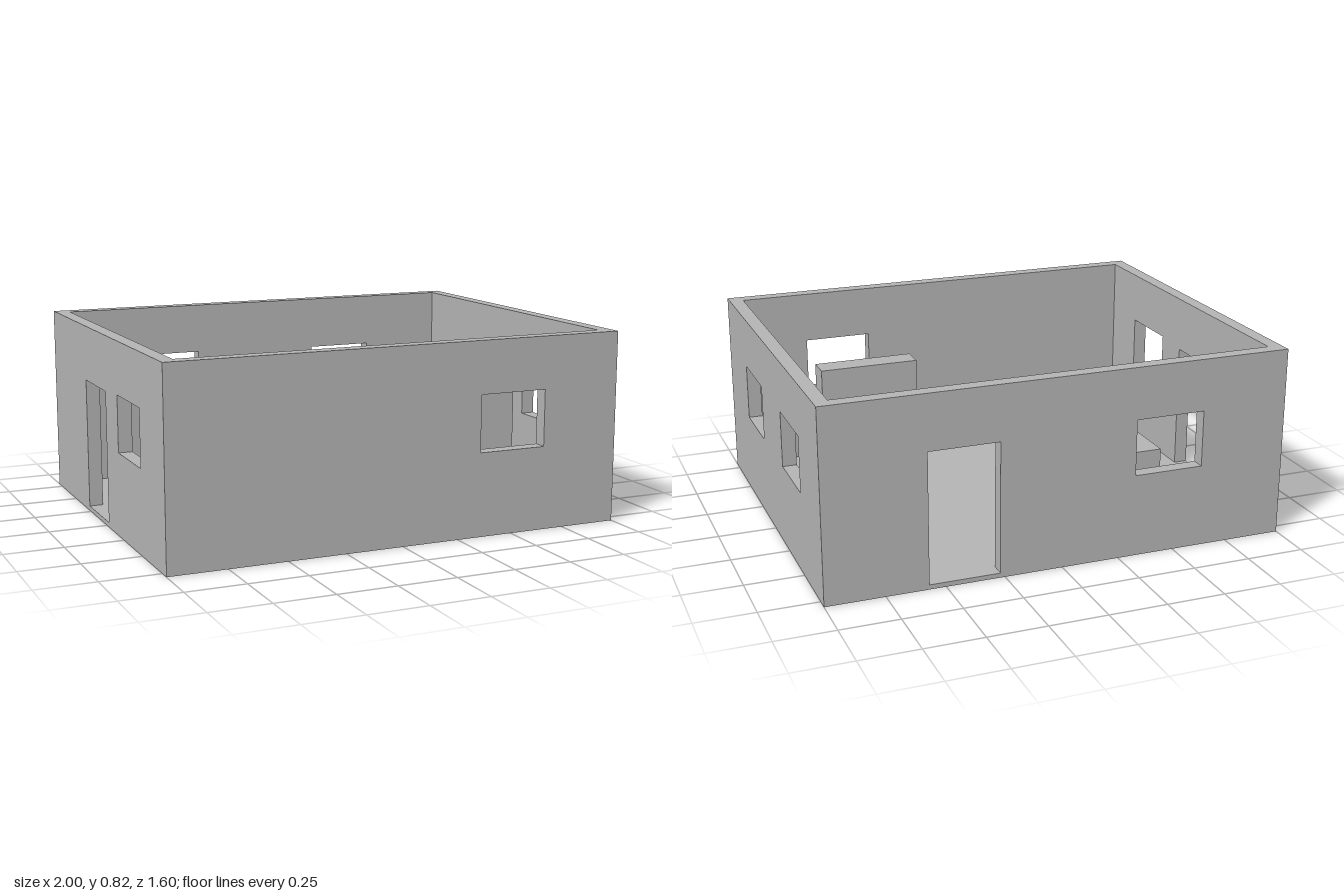
import * as THREE from 'three';

const WIDTH = 2, DEPTH = 1.6, TOP = 0.82, FLOOR = 0.02, WALL = 0.06;
const SILL = 0.356, LINTEL = 0.597, DOOR_TOP = 0.583;

export function createModel() {
  const house = new THREE.Group();
  house.name = 'house';
  const plaster = new THREE.MeshStandardMaterial({ color: 0xb3b3b3 });
  plaster.name = 'grey plaster';

  const add = (name, geometry, x, y, z) => {
    const mesh = new THREE.Mesh(geometry, plaster);
    mesh.name = name;
    mesh.position.set(x, y, z);
    house.add(mesh);
    return mesh;
  };

  // Wall panel: doors are notches from the floor, windows are holes; each is [from, to]
  const wallGeometry = (length, doors, windows) => {
    const h = length / 2;
    const shape = new THREE.Shape().moveTo(-h, FLOOR);
    for (const [a, b] of doors) {
      shape.lineTo(a, FLOOR).lineTo(a, DOOR_TOP).lineTo(b, DOOR_TOP).lineTo(b, FLOOR);
    }
    shape.lineTo(h, FLOOR).lineTo(h, TOP).lineTo(-h, TOP).closePath();
    for (const [a, b] of windows) {
      shape.holes.push(new THREE.Path()
        .moveTo(a, SILL).lineTo(a, LINTEL).lineTo(b, LINTEL).lineTo(b, SILL).closePath());
    }
    return new THREE.ExtrudeGeometry(shape, { depth: WALL, bevelEnabled: false });
  };

  // Floor slab
  add('floor', new THREE.BoxGeometry(WIDTH, FLOOR, DEPTH), 0, FLOOR / 2, 0);

  // Long walls
  add('frontWall', wallGeometry(WIDTH, [], [[0.35, 0.65]]), 0, 0, DEPTH / 2 - WALL);
  add('backWall', wallGeometry(WIDTH, [[0.27, 0.57]], [[-0.62, -0.32]]), 0, 0, -DEPTH / 2);

  // Side walls fit between the long walls; turned so the panel runs along -z
  const sideLength = DEPTH - 2 * WALL;
  const sides = [
    ['leftWall', WIDTH / 2 - WALL, [], [[-0.45, -0.15], [0.19, 0.49]]],
    ['rightWall', -WIDTH / 2, [[-0.03, 0.27]], [[-0.5, -0.2]]],
  ];
  for (const [name, x, doors, windows] of sides) {
    add(name, wallGeometry(sideLength, doors, windows), x, 0, 0).rotation.y = Math.PI / 2;
  }

  // Furniture blocks standing on the floor: x range, z range, top
  const blocks = [
    ['lowTable', -0.62, -0.2, -0.435, -0.19, 0.3],
    ['tallCabinet', 0.22, 0.67, 0.405, 0.515, 0.55],
  ];
  for (const [name, x0, x1, z0, z1, top] of blocks) {
    add(name, new THREE.BoxGeometry(x1 - x0, top - FLOOR, z1 - z0),
      (x0 + x1) / 2, (top + FLOOR) / 2, (z0 + z1) / 2);
  }
  return house;
}
